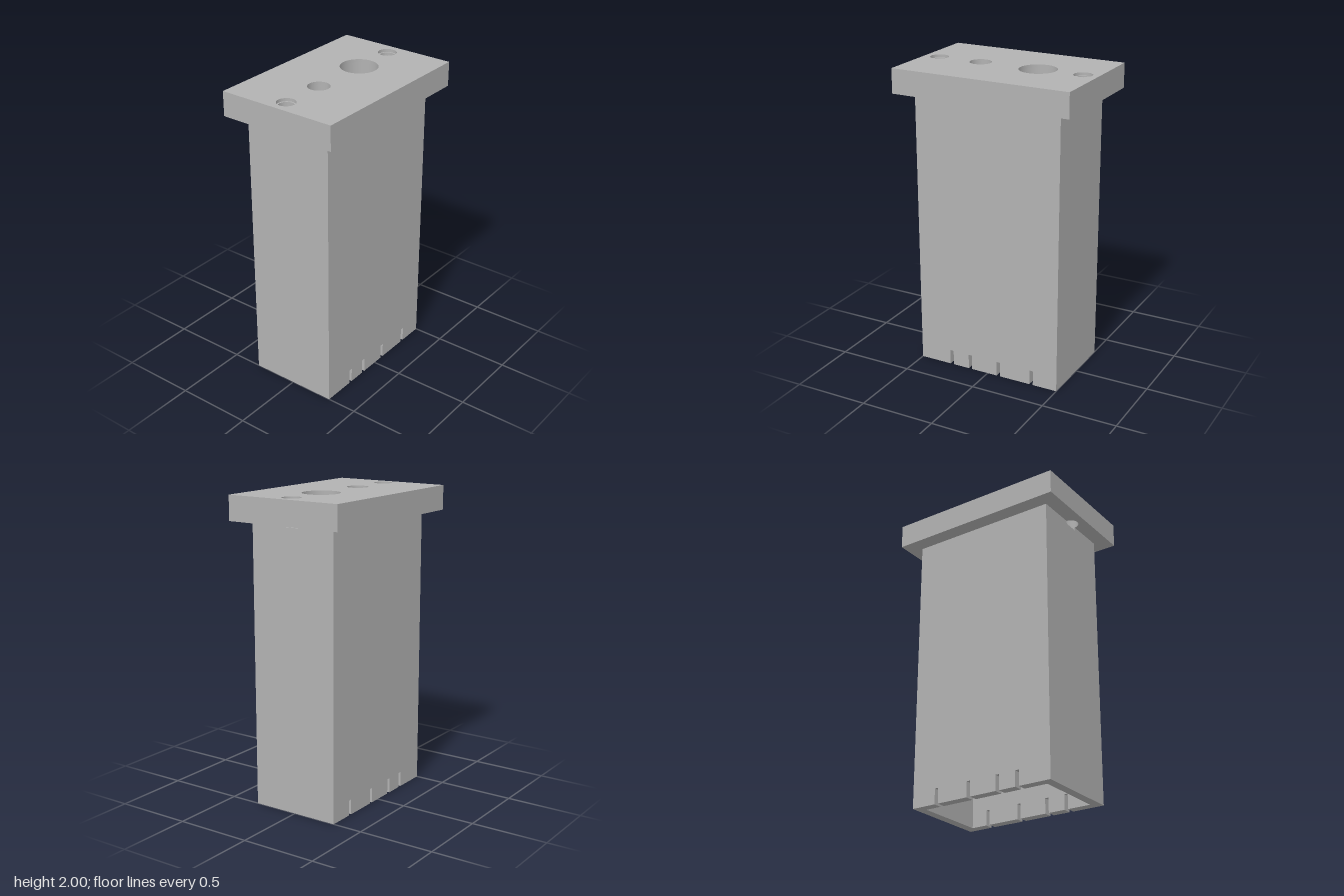
import * as THREE from 'three';
import { toCreasedNormals } from 'three/addons/utils/BufferGeometryUtils.js';

const WALL = 0.06, BODY_TOP = 1.84, BORE_FLOOR = 1.82, BORE = 0.05;

export function createModel() {
  const model = new THREE.Group();
  const grey = new THREE.MeshStandardMaterial({ color: 0xb2b2b2 });
  grey.name = 'grey';

  const extrude = (shape, depth) => toCreasedNormals(
    new THREE.ExtrudeGeometry(shape, { depth, bevelEnabled: false, curveSegments: 32 }), 0.5);

  const add = (name, geometry) => {
    const mesh = new THREE.Mesh(geometry, grey);
    mesh.name = name;
    model.add(mesh);
    return mesh;
  };

  // Horizontal layer: a plan-view shape raised from y0 to y1
  const layer = (shape, y0, y1) =>
    extrude(shape, y1 - y0).rotateX(-Math.PI / 2).translate(0, y0, 0);

  // Top plate with two through holes and two counterbored screw holes
  const plate = (screwRadius) => {
    const s = new THREE.Shape();
    s.moveTo(-0.6, -0.4).lineTo(0.6, -0.4).lineTo(0.6, 0.4).lineTo(-0.6, 0.4).closePath();
    for (const [x, r] of [[-0.5, screwRadius], [-0.2, 0.07], [0.2, 0.12], [0.5, screwRadius]]) {
      s.holes.push(new THREE.Path().absarc(x, 0, r, 0, Math.PI * 2, true));
    }
    return s;
  };
  add('topPlate', layer(plate(BORE), BODY_TOP, 1.98));
  add('topPlateCounterboreLayer', layer(plate(0.06), 1.98, 2));

  // Front and back walls with slots open at the bottom edge
  const slotted = new THREE.Shape();
  slotted.moveTo(-0.5, 0);
  for (const x of [-0.27, -0.13, 0.08, 0.32]) {
    slotted.lineTo(x - 0.0125, 0).lineTo(x - 0.0125, 0.1);
    slotted.lineTo(x + 0.0125, 0.1).lineTo(x + 0.0125, 0);
  }
  slotted.lineTo(0.5, 0).lineTo(0.5, BODY_TOP).lineTo(-0.5, BODY_TOP).closePath();
  add('frontWall', extrude(slotted, WALL)).position.z = 0.3 - WALL;
  add('backWall', extrude(slotted, WALL)).position.z = -0.3;

  // Side walls, with the screw bores cutting a half-round recess at the top
  const inner = 0.5 - WALL, halfDepth = 0.3 - WALL;
  const recessed = new THREE.Shape();
  recessed.moveTo(inner, -halfDepth).lineTo(0.5, -halfDepth).lineTo(0.5, -BORE);
  recessed.absarc(0.5, 0, BORE, -Math.PI / 2, -Math.PI * 1.5, true);
  recessed.lineTo(0.5, halfDepth).lineTo(inner, halfDepth).closePath();
  for (const [side, turn] of [['left', 0], ['right', Math.PI]]) {
    add(side + 'Wall', new THREE.BoxGeometry(WALL, BORE_FLOOR, halfDepth * 2)
      .translate(0.5 - WALL / 2, BORE_FLOOR / 2, 0)).rotation.y = turn;
    add(side + 'WallRecess', layer(recessed, BORE_FLOOR, BODY_TOP)).rotation.y = turn;
  }

  return model;
}
